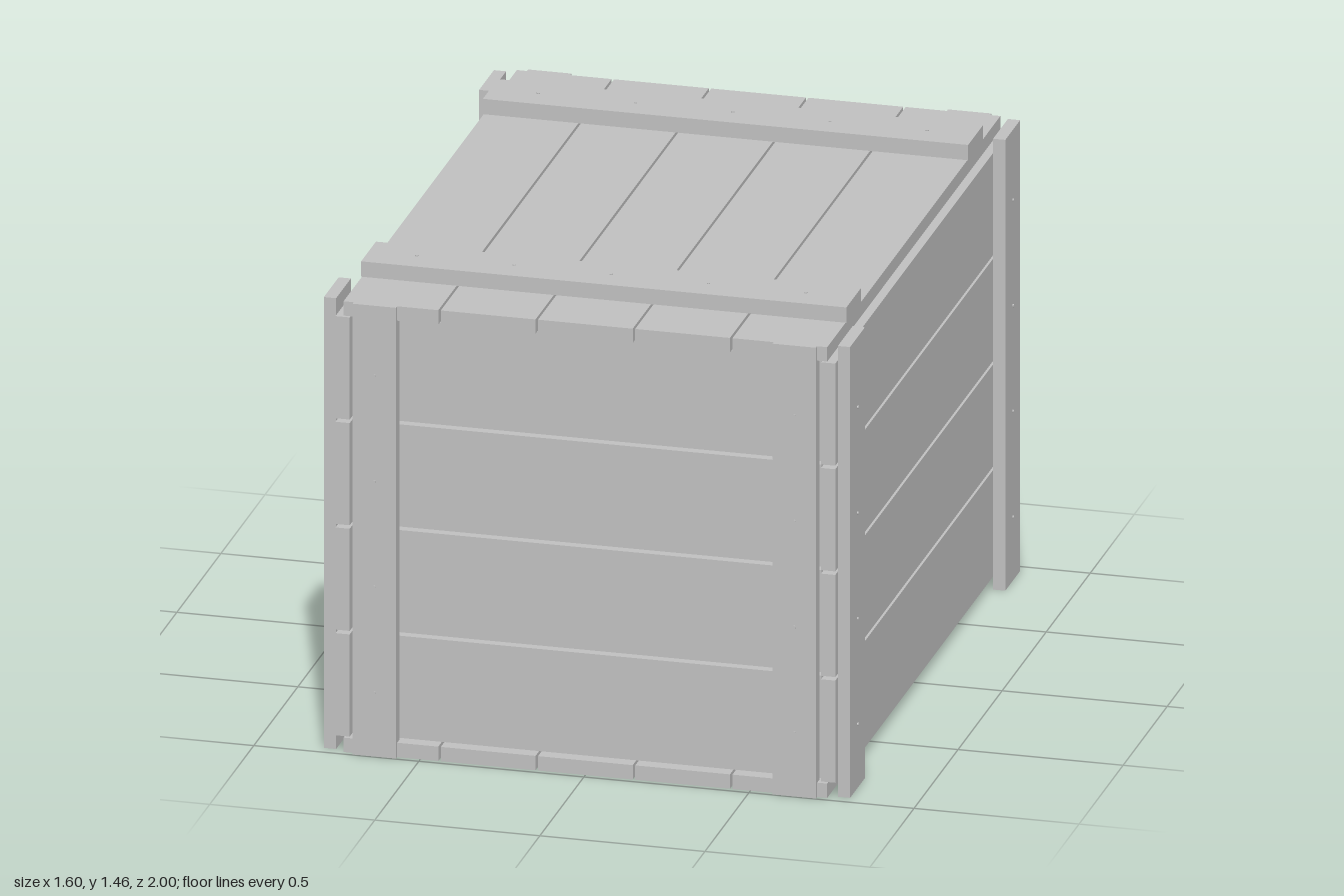
import * as THREE from 'three';

export function createModel() {
  const crate = new THREE.Group();
  crate.name = 'crate';
  const wood = new THREE.MeshStandardMaterial({ color: 0xc0c0c0 });
  wood.name = 'grey wood';

  // Box given by its min and max along each axis
  function board(name, [x0, x1], [y0, y1], [z0, z1]) {
    const mesh = new THREE.Mesh(new THREE.BoxGeometry(x1 - x0, y1 - y0, z1 - z0), wood);
    mesh.position.set((x0 + x1) / 2, (y0 + y1) / 2, (z0 + z1) / 2);
    mesh.name = name;
    crate.add(mesh);
  }

  // Small nail head whose axis points along the given axis
  function nail(axis, x, y, z) {
    const mesh = new THREE.Mesh(new THREE.CylinderGeometry(0.005, 0.005, 0.01, 8), wood);
    if (axis === 'x') mesh.rotation.z = Math.PI / 2;
    if (axis === 'z') mesh.rotation.x = Math.PI / 2;
    mesh.position.set(x, y, z);
    mesh.name = 'nail';
    crate.add(mesh);
  }

  // Interval mirrored to the negative side when s is -1
  const side = (s, a, b) => (s > 0 ? [a, b] : [-b, -a]);

  // Floor and lid: five planks running front to back
  for (let i = 0; i < 5; i++) {
    const c = (i - 2) * 0.2945;
    const x = [c - 0.1435, c + 0.1435];
    board('floorPlank', x, [0, 0.045], [-0.983, 0.983]);
    board('lidPlank', x, [1.367, 1.412], [-0.983, 0.983]);
  }

  // Walls: four horizontal planks on every side
  for (let i = 0; i < 4; i++) {
    const y = [0.05 + i * 0.331, 0.37 + i * 0.331];
    for (const s of [1, -1]) {
      board(s > 0 ? 'frontPlank' : 'backPlank', [-0.708, 0.708], y, side(s, 0.912, 0.955));
      board(s > 0 ? 'leftPlank' : 'rightPlank', side(s, 0.714, 0.757), y, [-0.983, 0.983]);
    }
  }

  // Corner posts and lid battens with their nails
  for (const s of [1, -1]) {
    board('lidBatten', [-0.735, 0.735], [1.412, 1.46], side(s, 0.607, 0.775));
    for (let i = -2; i <= 2; i++) nail('y', i * 0.2945, 1.458, s * 0.69);

    for (const t of [1, -1]) {
      board(s > 0 ? 'frontPost' : 'backPost', side(t, 0.57, 0.702), [0, 1.412], side(s, 0.957, 0.996));
      board(t > 0 ? 'leftPost' : 'rightPost', side(t, 0.76, 0.797), [0, 1.412], side(s, 0.797, 0.965));
      for (let i = 0; i < 4; i++) {
        const y = 0.2 + i * 0.331;
        nail('z', t * 0.636, y, s * 0.995);
        nail('x', t * 0.796, y, s * 0.881);
      }
    }
  }
  return crate;
}
